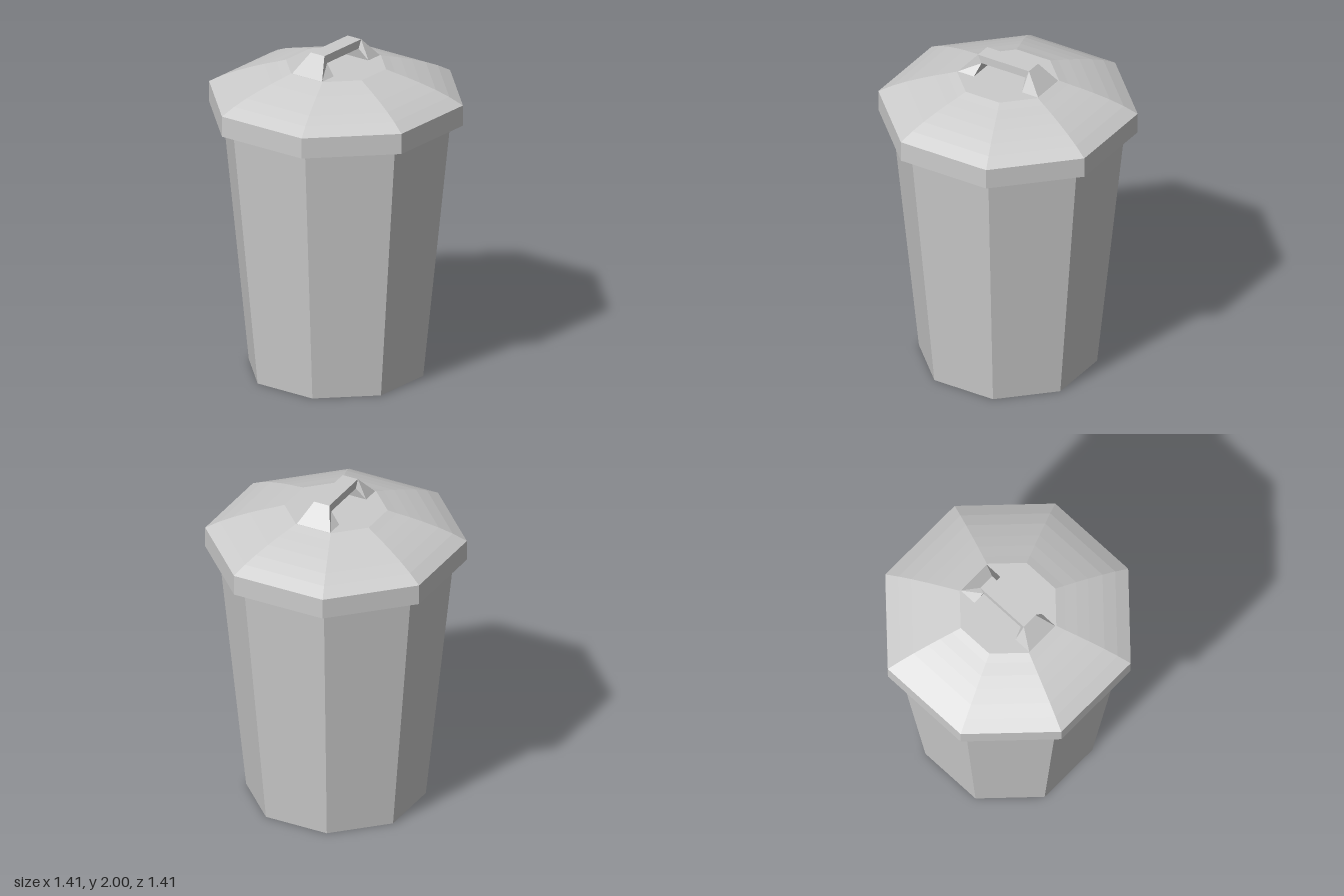
import * as THREE from 'three';

const material = new THREE.MeshStandardMaterial({ color: 0xcccccc, flatShading: true });
const SIDES = 8;

// Eight-sided turned part; the profile gives [distance to flat side, height]
function octagonal(name, profile) {
  const toCorner = 1 / Math.cos(Math.PI / SIDES);
  const points = profile.map(([r, y]) => new THREE.Vector2(r * toCorner, y));
  const mesh = new THREE.Mesh(new THREE.LatheGeometry(points, SIDES, Math.PI / SIDES), material);
  mesh.name = name;
  return mesh;
}

// Strap handle: four-cornered cross-sections joined along its length
function createHandle() {
  // half width, outer [y, z], inner [y, z]
  const sections = [
    [0.11, [1.885, 0.275], [1.885, 0.165]],
    [0.05, [2, 0.175], [1.95, 0.15]],
    [0.05, [2, -0.175], [1.95, -0.15]],
    [0.11, [1.885, -0.275], [1.885, -0.165]],
  ];
  const positions = [];
  for (const [w, outer, inner] of sections) {
    positions.push(-w, ...outer, w, ...outer, w, ...inner, -w, ...inner);
  }
  const index = [];
  for (let s = 0; s < sections.length - 1; s++) {
    for (let k = 0; k < 4; k++) {
      const a = s * 4 + k, b = s * 4 + (k + 1) % 4;
      index.push(a, b, b + 4, a, b + 4, a + 4);
    }
  }
  const geometry = new THREE.BufferGeometry();
  geometry.setAttribute('position', new THREE.Float32BufferAttribute(positions, 3));
  geometry.setIndex(index);
  geometry.computeVertexNormals();
  const mesh = new THREE.Mesh(geometry, material);
  mesh.name = 'handle';
  return mesh;
}

export function createModel() {
  const group = new THREE.Group();
  group.name = 'trashCan';

  // Tapered bin with a flat base
  group.add(octagonal('bin', [[0, 0], [0.485, 0], [0.635, 1.58]]));

  // Lid with overhanging rim and shallow dome
  group.add(octagonal('lid', [
    [0.635, 1.58], [0.706, 1.58], [0.706, 1.705],
    [0.63, 1.75], [0.555, 1.786], [0.47, 1.82], [0.4, 1.845], [0.33, 1.867],
    [0.278, 1.885], [0, 1.885],
  ]));

  group.add(createHandle());
  return group;
}
